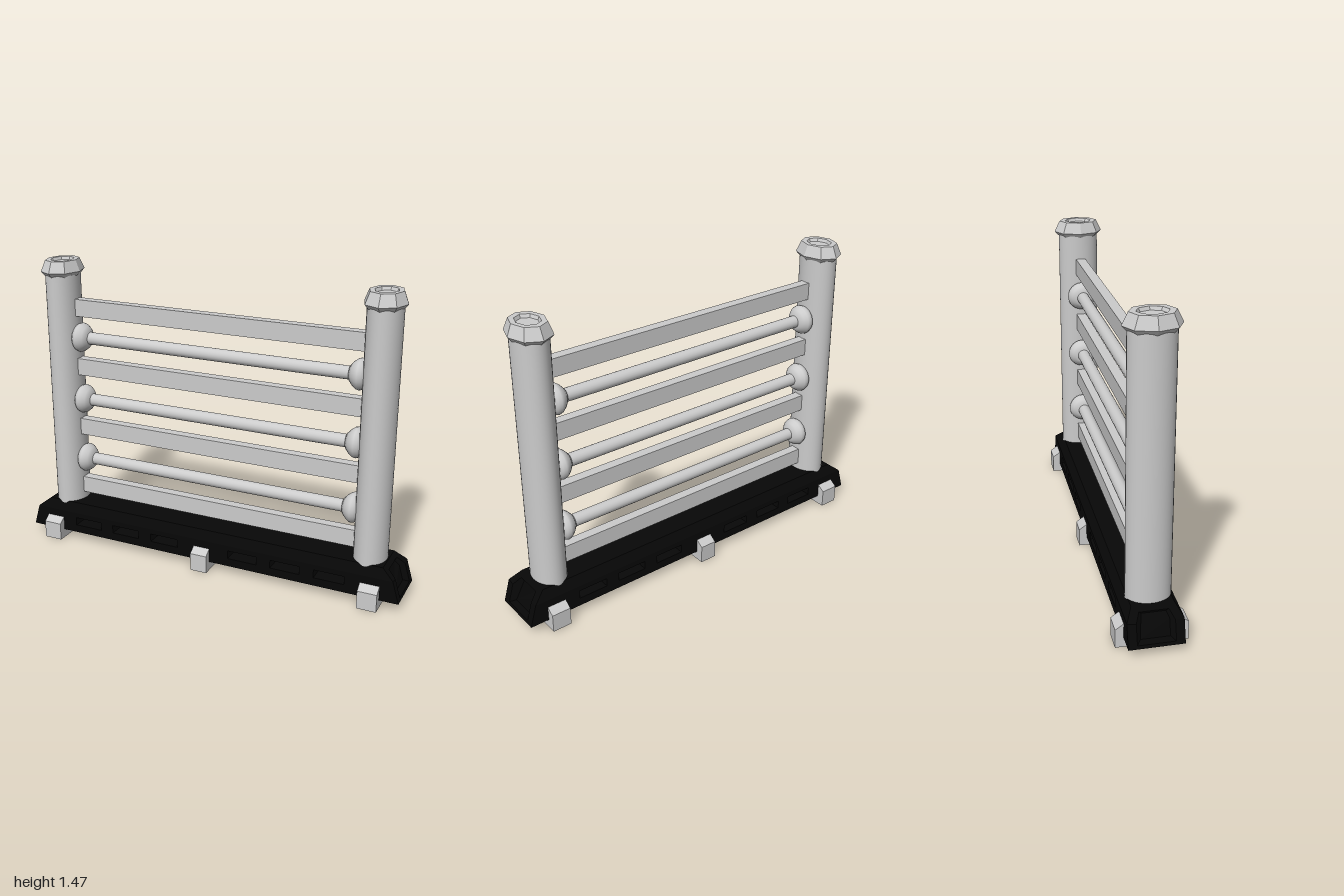
import * as THREE from 'three';

const grey = new THREE.MeshStandardMaterial({ color: 0xcccccc });
const greyFlat = new THREE.MeshStandardMaterial({ color: 0xcccccc, flatShading: true });
const black = new THREE.MeshStandardMaterial({ color: 0x070707, flatShading: true });

const v2 = (pts) => pts.map(([x, y]) => new THREE.Vector2(x, y));

function add(parent, name, geometry, material, x = 0, y = 0, z = 0) {
  const mesh = new THREE.Mesh(geometry, material);
  mesh.name = name;
  mesh.position.set(x, y, z);
  parent.add(mesh);
  return mesh;
}

// Sloping end of the base: x as a function of height
function endX(y) {
  return y < 0.155 ? 1 - (0.032 * (y - 0.045)) / 0.11 : 0.968 - (0.058 * (y - 0.155)) / 0.045;
}

// Base end: section rings running outwards, then into a shallow recess
function baseEndGeometry() {
  const section = (w, bottom, mid, top, topW) => [
    [w, bottom], [-w, bottom], [-w, mid], [-topW, top], [topW, top], [w, mid],
  ];
  const outer = section(0.125, 0.045, 0.155, 0.2, 0.095);
  const rim = section(0.085, 0.06, 0.15, 0.183, 0.066);
  const floor = section(0.066, 0.07, 0.145, 0.17, 0.054);
  const rings = [
    outer.map(([z, y]) => [0.9, y, z]),
    outer.map(([z, y]) => [endX(y), y, z]),
    rim.map(([z, y]) => [endX(y), y, z]),
    floor.map(([z, y]) => [endX(y) - 0.025, y, z]),
  ];
  const n = outer.length;
  const index = [];
  for (let r = 0; r < rings.length - 1; r++) {
    for (let i = 0; i < n; i++) {
      const a = r * n + i, b = r * n + ((i + 1) % n);
      index.push(a, b, b + n, a, b + n, a + n);
    }
  }
  const last = (rings.length - 1) * n;
  for (let i = 1; i < n - 1; i++) index.push(last, last + i, last + i + 1);
  const geometry = new THREE.BufferGeometry();
  geometry.setAttribute('position', new THREE.Float32BufferAttribute(rings.flat(2), 3));
  geometry.setIndex(index);
  geometry.computeVertexNormals();
  return geometry;
}

function buildBase() {
  const base = new THREE.Group();
  base.name = 'base';

  // Lower body with slots cut right through
  const shape = new THREE.Shape(v2([[-0.9, 0.045], [0.9, 0.045], [0.9, 0.155], [-0.9, 0.155]]));
  for (const side of [-1, 1]) {
    for (const cx of [0.215, 0.439, 0.661]) {
      const a = side * cx - 0.076, b = side * cx + 0.076;
      shape.holes.push(new THREE.Path(v2([[a, 0.086], [a, 0.128], [b, 0.128], [b, 0.086]])));
    }
  }
  const body = new THREE.ExtrudeGeometry(shape, { depth: 0.25, bevelEnabled: false });
  add(base, 'slottedBody', body, black, 0, 0, -0.125);

  // Bevelled top
  const bevel = new THREE.Shape(v2([[-0.125, 0.155], [0.125, 0.155], [0.095, 0.2], [-0.095, 0.2]]));
  const top = new THREE.ExtrudeGeometry(bevel, { depth: 1.8, bevelEnabled: false });
  add(base, 'bevelledTop', top, black, -0.9).rotation.y = Math.PI / 2;

  // Sloping ends
  const end = baseEndGeometry();
  add(base, 'leftEnd', end, black);
  add(base, 'rightEnd', end, black).rotation.y = Math.PI;
  return base;
}

export function createModel() {
  const model = new THREE.Group();
  model.name = 'fence';
  model.add(buildBase());

  // Feet crossing under the base
  const footShape = new THREE.Shape(v2([
    [-0.163, 0], [0.163, 0], [0.163, 0.09], [0.12, 0.12], [-0.12, 0.12], [-0.163, 0.09],
  ]));
  for (const [x, w] of [[-0.862, 0.095], [-0.004, 0.086], [0.86, 0.095]]) {
    const foot = new THREE.ExtrudeGeometry(footShape, { depth: w, bevelEnabled: false });
    add(model, 'foot', foot, greyFlat, x - w / 2).rotation.y = Math.PI / 2;
  }

  // Oval posts with octagonal caps
  const post = new THREE.CylinderGeometry(0.102, 0.102, 1.23, 32);
  const cap = new THREE.LatheGeometry(v2([
    [0, 1.39], [0.1, 1.39], [0.125, 1.415], [0.098, 1.47], [0.068, 1.47], [0.06, 1.455], [0, 1.455],
  ]), 8);
  for (const side of [-1, 1]) {
    const group = new THREE.Group();
    group.name = side > 0 ? 'leftPost' : 'rightPost';
    group.position.x = side * 0.823;
    group.scale.x = 0.79;
    add(group, 'shaft', post, grey, 0, 0.785);
    add(group, 'cap', cap, greyFlat);
    model.add(group);
  }

  // Flat planks
  const plank = new THREE.BoxGeometry(1.49, 0.086, 0.05);
  for (const y of [0.281, 0.608, 0.93, 1.235]) add(model, 'plank', plank, greyFlat, 0, y);

  // Round rods with a knob at each end
  const rod = new THREE.CylinderGeometry(0.031, 0.031, 1.4, 20);
  const knob = new THREE.LatheGeometry(v2([
    [0, -0.765], [0.03, -0.765], [0.053, -0.758], [0.068, -0.745], [0.074, -0.728],
    [0.07, -0.714], [0.057, -0.697], [0.038, -0.68], [0, -0.68],
  ]), 24);
  for (const y of [0.43, 0.755, 1.08]) {
    add(model, 'rod', rod, grey, 0, y).rotation.z = Math.PI / 2;
    for (const side of [-1, 1]) {
      add(model, 'knob', knob, grey, 0, y).rotation.z = side * Math.PI / 2;
    }
  }
  return model;
}
